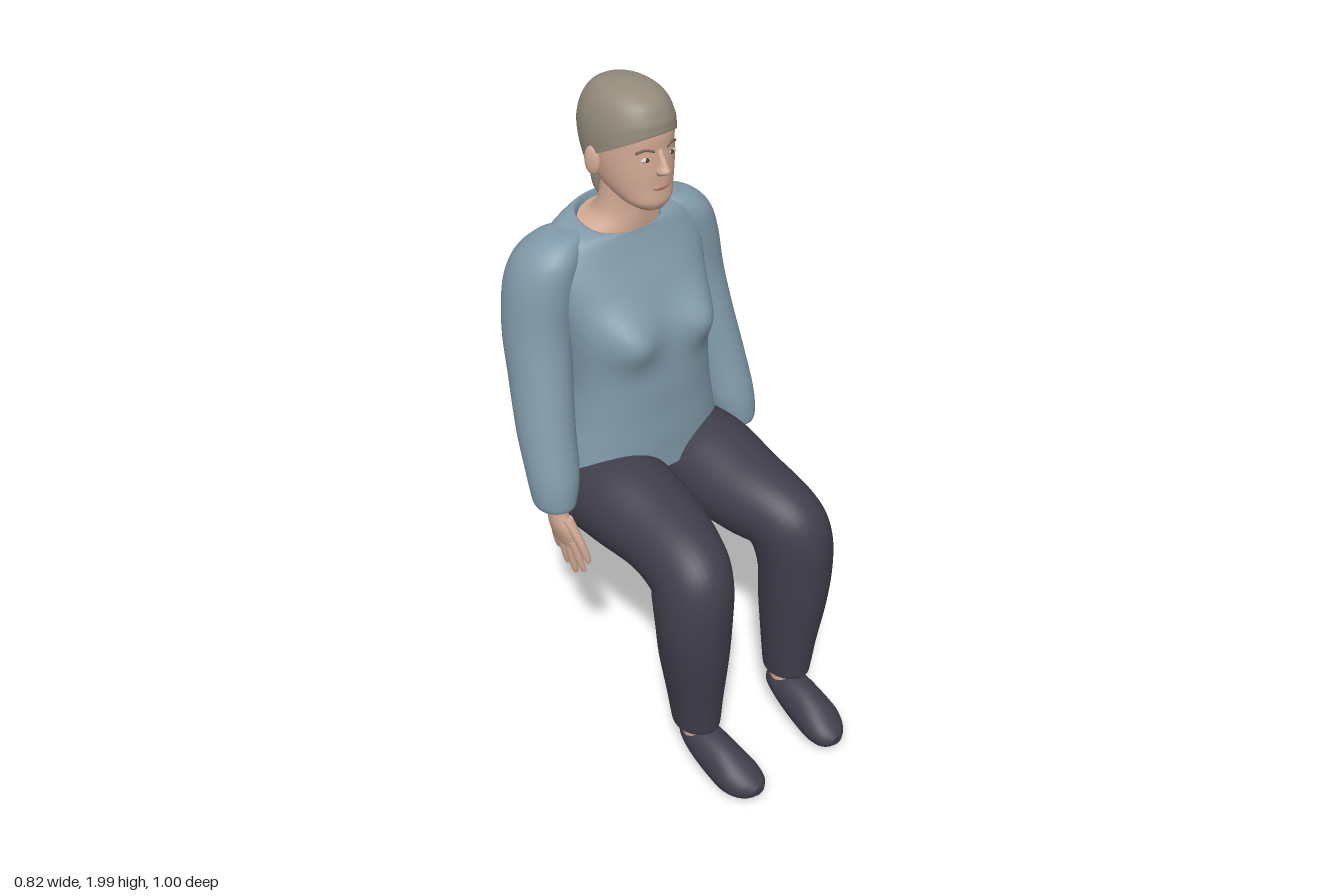
import * as THREE from 'three';

const mat = (name, color) => {
  const m = new THREE.MeshStandardMaterial({ color });
  m.name = name;
  return m;
};

// Skin a smooth surface over elliptical rings [x, y, z, halfWidth, halfDepth, tiltDegrees].
// Rings run top-down (or back to front); the depth axis tilts from +z towards +y.
function loft(rings, { segs = 32, steps = 5, power = 2, bend } = {}) {
  const pos = [], index = [], rows = (rings.length - 1) * steps;
  const at = (i, k) => rings[Math.min(Math.max(i, 0), rings.length - 1)][k] ?? 0;
  const sample = (s, k) => {
    const i = Math.min(Math.floor(s), rings.length - 2), t = s - i;
    const p0 = at(i - 1, k), p1 = at(i, k), p2 = at(i + 1, k), p3 = at(i + 2, k);
    const m1 = (p2 - p0) / 2, m2 = (p3 - p1) / 2;
    return p1 + t * (m1 + t * (3 * (p2 - p1) - 2 * m1 - m2 + t * (2 * (p1 - p2) + m1 + m2)));
  };
  const round = (v) => Math.sign(v) * Math.abs(v) ** (2 / power);
  const add = (p) => {
    if (bend) bend(p);
    pos.push(p.x, p.y, p.z);
  };
  for (let r = 0; r <= rows; r++) {
    const [x, y, z, w, d, tilt] = [0, 1, 2, 3, 4, 5].map((k) => sample(r / steps, k));
    const a = THREE.MathUtils.degToRad(tilt);
    for (let j = 0; j < segs; j++) {
      const t = (j / segs) * Math.PI * 2, v = d * round(Math.sin(t));
      add(new THREE.Vector3(x + w * round(Math.cos(t)), y + v * Math.sin(a), z + v * Math.cos(a)));
    }
  }
  for (let r = 0; r < rows; r++) {
    for (let j = 0; j < segs; j++) {
      const a = r * segs + j, b = r * segs + (j + 1) % segs;
      index.push(a, b, a + segs, b, b + segs, a + segs);
    }
  }
  // End caps have their own vertices so the rims stay crisp
  for (const [row, ring] of [[0, rings[0]], [rows, rings.at(-1)]]) {
    const start = pos.length / 3;
    for (let j = 0; j < segs; j++) {
      const k = (row * segs + j) * 3;
      pos.push(pos[k], pos[k + 1], pos[k + 2]);
    }
    pos.push(ring[0], ring[1], ring[2]);
    for (let j = 0; j < segs; j++) {
      const a = start + j, b = start + (j + 1) % segs;
      index.push(start + segs, row ? a : b, row ? b : a);
    }
  }
  const g = new THREE.BufferGeometry();
  g.setAttribute('position', new THREE.Float32BufferAttribute(pos, 3));
  g.setIndex(index);
  g.computeVertexNormals();
  return g;
}

export function createModel() {
  const model = new THREE.Group();
  model.name = 'seatedWoman';
  const skin = mat('skin', 0xd3aa94), hair = mat('hair', 0x938b7b);
  const knit = mat('sweaterBlue', 0x8099a8), cloth = mat('trouserCharcoal', 0x3f3e4b);
  const white = mat('eyeWhite', 0xcfc8c0), dark = mat('irisBrown', 0x4a3d36);
  const brow = mat('browBrown', 0x7d6758), lip = mat('lipRose', 0xb98478);

  const put = (name, geometry, material, parent = model) => {
    const m = new THREE.Mesh(geometry, material);
    m.name = name;
    parent.add(m);
    return m;
  };
  const blob = (name, material, [x, y, z], [sx, sy, sz]) => {
    const m = put(name, new THREE.SphereGeometry(1, 24, 16), material);
    m.position.set(x, y, z);
    m.scale.set(sx, sy, sz);
    return m;
  };
  const flip = (rings, s) => rings.map(([x, ...rest]) => [x * s, ...rest]);

  // Sweater body, with chest and seat pushed out by soft bumps
  const bump = (p, x, y, sx, sy) =>
    Math.exp(-(((Math.abs(p.x) - x) / sx) ** 2) - ((p.y - y) / sy) ** 2);
  put('sweaterBody', loft([
    [0, 1.575, -0.31, 0.122, 0.09, -14],
    [0, 1.6, -0.31, 0.135, 0.1, -14],
    [0, 1.572, -0.315, 0.22, 0.108, -5],
    [0, 1.5, -0.315, 0.262, 0.135],
    [0, 1.42, -0.295, 0.258, 0.155],
    [0, 1.3, -0.26, 0.235, 0.165],
    [0, 1.15, -0.24, 0.222, 0.16],
    [0, 1.03, -0.25, 0.238, 0.17, 3],
    [0, 0.93, -0.275, 0.262, 0.2, 10],
    [0, 0.84, -0.28, 0.272, 0.212, 18],
    [0, 0.77, -0.275, 0.24, 0.215, 23],
  ], {
    segs: 64, steps: 7, power: 2.3,
    bend: (p) => {
      if (p.z > -0.2) p.z += 0.052 * bump(p, 0.125, 1.3, 0.075, 0.075);
      if (p.z < -0.34) p.z -= 0.03 * bump(p, 0.11, 0.8, 0.09, 0.12);
    },
  }), knit);

  // Neck and head
  put('neck', loft([
    [0, 1.74, -0.265, 0.068, 0.07],
    [0, 1.66, -0.278, 0.076, 0.068],
    [0, 1.615, -0.292, 0.09, 0.08],
    [0, 1.585, -0.308, 0.126, 0.094, -12],
  ]), skin);
  put('head', loft([
    [0, 1.99, -0.265, 0.02, 0.03],
    [0, 1.98, -0.265, 0.058, 0.078],
    [0, 1.95, -0.265, 0.09, 0.12],
    [0, 1.89, -0.265, 0.109, 0.144],
    [0, 1.84, -0.263, 0.111, 0.143],
    [0, 1.78, -0.25, 0.104, 0.133],
    [0, 1.73, -0.228, 0.091, 0.11],
    [0, 1.69, -0.19, 0.069, 0.072],
    [0, 1.667, -0.172, 0.04, 0.042],
  ], { segs: 48, power: 2.15 }), skin);
  put('nose', loft([
    [0, 1.845, -0.126, 0.009, 0.008],
    [0, 1.805, -0.114, 0.012, 0.018],
    [0, 1.785, -0.113, 0.019, 0.026],
    [0, 1.771, -0.122, 0.014, 0.01],
  ], { segs: 16 }), skin);
  blob('mouth', lip, [0, 1.738, -0.122], [0.028, 0.01, 0.012]);

  // Swept-back hair with a slanting hairline
  put('hairCap', loft([
    [0, 2.0, -0.265, 0.012, 0.016],
    [0, 1.987, -0.265, 0.064, 0.084],
    [0, 1.955, -0.265, 0.095, 0.127, 3],
    [0, 1.905, -0.266, 0.113, 0.149, 7],
    [0, 1.86, -0.262, 0.117, 0.152, 15],
    [0, 1.82, -0.25, 0.115, 0.151, 27],
  ], { segs: 48, power: 2.15 }), hair);
  put('ponytail', loft([
    [0, 1.79, -0.375, 0.03, 0.02],
    [0, 1.755, -0.388, 0.017, 0.016],
    [0, 1.7, -0.39, 0.026, 0.025],
    [0, 1.65, -0.393, 0.02, 0.018],
    [0, 1.615, -0.39, 0.006, 0.006],
  ], { segs: 16 }), hair);
  const tie = put('hairTie', new THREE.TorusGeometry(0.018, 0.006, 8, 20), hair);
  tie.position.set(0, 1.753, -0.388);
  tie.rotation.x = Math.PI / 2;

  // Trouser seat
  blob('trouserSeat', cloth, [0, 0.755, -0.315], [0.262, 0.118, 0.15]);

  for (const [side, s] of [['left', 1], ['right', -1]]) {
    const part = (name, rings, material, options) =>
      put(side + name, loft(flip(rings, s), options), material);

    // Face details
    blob(side + 'Ear', skin, [s * 0.114, 1.795, -0.268], [0.013, 0.042, 0.025]).rotation.y = -s * 0.3;
    blob(side + 'Eye', white, [s * 0.042, 1.823, -0.13], [0.018, 0.007, 0.007]);
    blob(side + 'Iris', dark, [s * 0.042, 1.823, -0.1265], [0.007, 0.0065, 0.005]);
    put(side + 'Eyebrow', new THREE.TubeGeometry(new THREE.CatmullRomCurve3([
      new THREE.Vector3(s * 0.02, 1.843, -0.122),
      new THREE.Vector3(s * 0.045, 1.851, -0.13),
      new THREE.Vector3(s * 0.068, 1.843, -0.143),
    ]), 10, 0.004, 6), brow);

    // Sleeve
    part('Sleeve', [
      [0.18, 1.592, -0.32, 0.03, 0.04],
      [0.2, 1.578, -0.323, 0.066, 0.07],
      [0.232, 1.53, -0.33, 0.087, 0.102],
      [0.256, 1.45, -0.338, 0.097, 0.113],
      [0.28, 1.32, -0.332, 0.093, 0.108],
      [0.3, 1.18, -0.298, 0.087, 0.1],
      [0.322, 1.03, -0.255, 0.082, 0.09],
      [0.335, 0.91, -0.215, 0.076, 0.08],
      [0.344, 0.835, -0.2, 0.064, 0.071],
      [0.344, 0.812, -0.199, 0.057, 0.066],
    ], knit);

    // Hand with fanned fingers
    part('Palm', [
      [0.345, 0.84, -0.2, 0.03, 0.035],
      [0.341, 0.785, -0.195, 0.027, 0.036],
      [0.334, 0.73, -0.187, 0.027, 0.05],
      [0.322, 0.665, -0.187, 0.016, 0.051],
    ], skin, { segs: 20 });
    [[-0.145, -0.13, 0.575], [-0.172, -0.17, 0.548], [-0.2, -0.208, 0.562], [-0.226, -0.245, 0.598]]
      .forEach(([base, tip, low], i) => part('Finger' + (i + 1), [
        [0.327, 0.69, base, 0.013, 0.014],
        [0.316, (0.69 + low) / 2, (base + tip) / 2, 0.012, 0.012],
        [0.304, low + 0.01, tip, 0.009, 0.009],
        [0.302, low, tip, 0.003, 0.003],
      ], skin, { segs: 10, steps: 3 }));
    part('Thumb', [
      [0.334, 0.77, -0.16, 0.018, 0.02],
      [0.318, 0.7, -0.125, 0.014, 0.015],
      [0.303, 0.635, -0.11, 0.011, 0.011],
      [0.3, 0.618, -0.108, 0.004, 0.004],
    ], skin, { segs: 10, steps: 3 });

    // Trouser leg, bending at the knee
    part('TrouserLeg', [
      [0.13, 0.74, -0.455, 0.06, 0.05, 90],
      [0.138, 0.755, -0.42, 0.11, 0.1, 90],
      [0.15, 0.772, -0.3, 0.147, 0.138, 90],
      [0.155, 0.785, -0.1, 0.152, 0.15, 90],
      [0.158, 0.765, 0.07, 0.135, 0.13, 82],
      [0.177, 0.728, 0.19, 0.118, 0.132, 52],
      [0.19, 0.68, 0.23, 0.113, 0.13, 22],
      [0.198, 0.58, 0.245, 0.109, 0.115, 2],
      [0.195, 0.45, 0.243, 0.098, 0.109],
      [0.188, 0.3, 0.24, 0.079, 0.092],
      [0.184, 0.19, 0.24, 0.067, 0.08],
      [0.184, 0.178, 0.24, 0.062, 0.075],
    ], cloth, { segs: 40 });

    // Ankle and shoe
    part('Ankle', [[0.182, 0.22, 0.235, 0.045, 0.05], [0.178, 0.12, 0.245, 0.045, 0.05]], skin);
    part('Shoe', [
      [0.176, 0.14, 0.19, 0.02, 0.02, 60],
      [0.176, 0.128, 0.21, 0.042, 0.042, 62],
      [0.176, 0.108, 0.27, 0.056, 0.062, 70],
      [0.174, 0.082, 0.35, 0.062, 0.07, 78],
      [0.17, 0.064, 0.42, 0.066, 0.058, 84],
      [0.163, 0.056, 0.47, 0.05, 0.038, 90],
      [0.16, 0.056, 0.497, 0.02, 0.015, 90],
    ], cloth, { segs: 28 });
  }
  return model;
}
